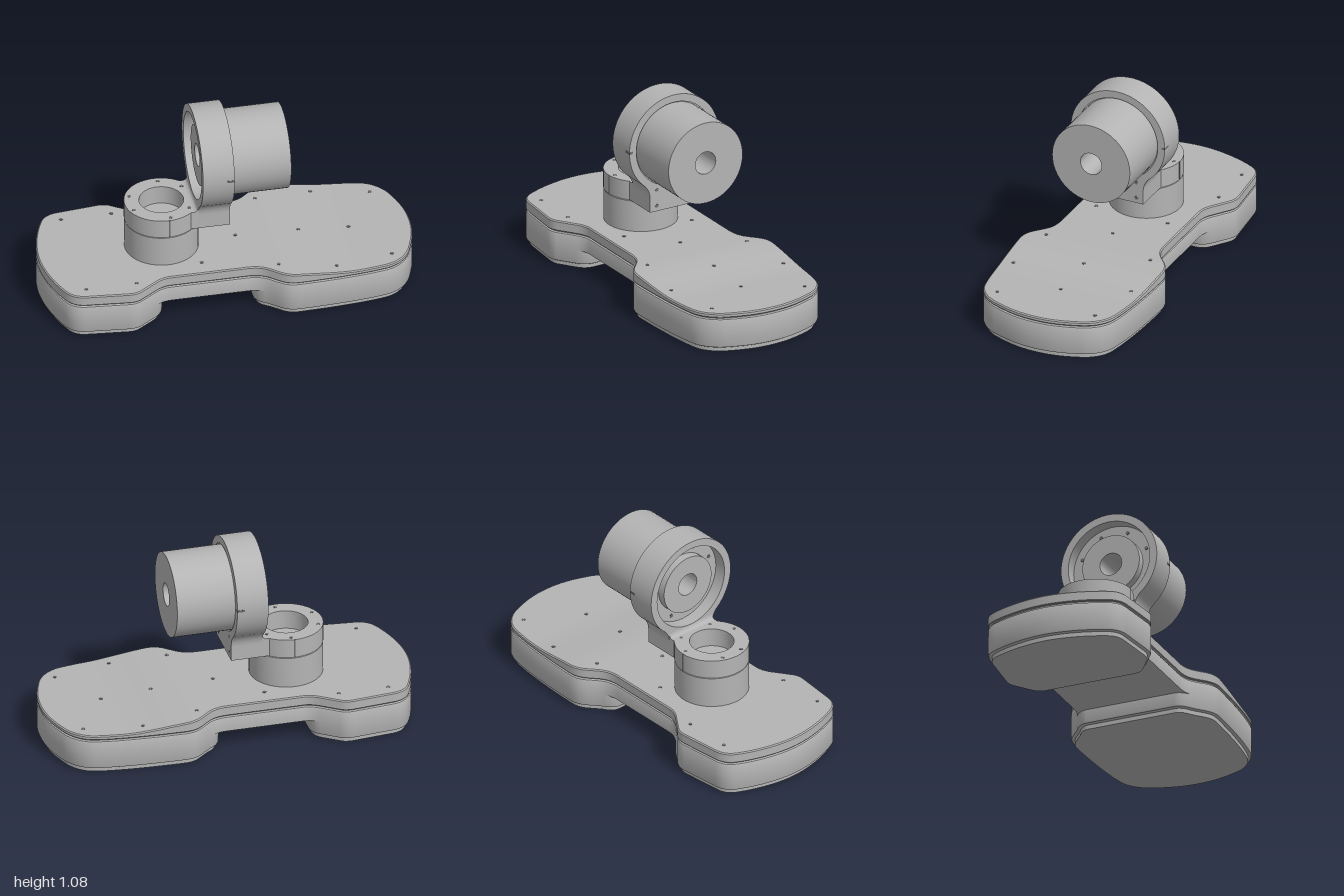
import * as THREE from 'three';
import { toCreasedNormals } from 'three/addons/utils/BufferGeometryUtils.js';

const bodyGrey = new THREE.MeshStandardMaterial({ color: 0xb4b4b4 });
bodyGrey.name = 'body grey';
const holeGrey = new THREE.MeshStandardMaterial({ color: 0x6c6c6c });
holeGrey.name = 'hole grey';

const COLUMN_X = -0.338, JOINT_Y = 0.8;

function mesh(parent, name, geometry, material = bodyGrey) {
  const m = new THREE.Mesh(geometry, material);
  m.name = name;
  parent.add(m);
  return m;
}

// Solid mirrored in z: half outline (x, z >= 0) lofted through rings [inset, height]
function slab(half, rings) {
  const n = half.length, M = 2 * n - 2, pos = [], idx = [];
  const normals = half.map((p, i) => {
    if (i === 0) return new THREE.Vector2(-1, 0);
    if (i === n - 1) return new THREE.Vector2(1, 0);
    const t = half[i + 1].clone().sub(half[i - 1]).normalize();
    return new THREE.Vector2(-t.y, t.x);
  });
  for (const [inset, y] of rings) {
    for (let k = 0; k < M; k++) {
      const i = k < n ? k : M - k, s = k < n ? 1 : -1;
      const x = half[i].x - normals[i].x * inset;
      const z = half[i].y - normals[i].y * inset;
      pos.push(x, typeof y === 'function' ? y(x) : y, s * z);
    }
  }
  for (let r = 0; r < rings.length - 1; r++) {
    for (let k = 0; k < M; k++) {
      const a = r * M + k, b = r * M + (k + 1) % M;
      idx.push(a, b, b + M, a, b + M, a + M);
    }
  }
  const top = (rings.length - 1) * M;
  for (let i = 0; i < n - 1; i++) {
    const j = i + 1, mi = (M - i) % M, mj = M - j;
    idx.push(top + i, top + j, top + mj, top + i, top + mj, top + mi);
    idx.push(i, mj, j, i, mi, mj);
  }
  const g = new THREE.BufferGeometry();
  g.setAttribute('position', new THREE.Float32BufferAttribute(pos, 3));
  g.setIndex(idx);
  return toCreasedNormals(g, 0.5);
}

// Turned part from [radius, height] points
function turned(points) {
  const g = new THREE.LatheGeometry(points.map(p => new THREE.Vector2(...p)), 64);
  return toCreasedNormals(g, 0.5);
}

function extrude(shape, depth) {
  const g = new THREE.ExtrudeGeometry(shape, { depth, bevelEnabled: false, curveSegments: 48 });
  return toCreasedNormals(g, 0.5);
}

// Rounded ends of the base outline
function leftEnd(p) {
  p.moveTo(-1, 0);
  p.bezierCurveTo(-1, 0.12, -0.96, 0.25, -0.92, 0.33);
  p.quadraticCurveTo(-0.89, 0.39, -0.82, 0.397);
  p.lineTo(-0.6, 0.419);
  p.quadraticCurveTo(-0.56, 0.423, -0.53, 0.405);
  return p;
}
function rightEnd(p) {
  p.bezierCurveTo(0.22, 0.38, 0.24, 0.423, 0.32, 0.423);
  p.bezierCurveTo(0.5, 0.42, 0.68, 0.41, 0.8, 0.385);
  p.quadraticCurveTo(0.89, 0.365, 0.94, 0.27);
  p.bezierCurveTo(0.98, 0.17, 1, 0.1, 1, 0);
  return p;
}

const lidTop = x => 0.255 - 0.033 * THREE.MathUtils.smoothstep(x, 0.22, 0.66);

function addBase(root) {
  const base = new THREE.Group();
  base.name = 'base';
  root.add(base);

  const full = leftEnd(new THREE.Path());
  full.lineTo(-0.43, 0.335);
  full.quadraticCurveTo(-0.39, 0.308, -0.35, 0.308);
  full.lineTo(0.06, 0.308);
  full.quadraticCurveTo(0.12, 0.308, 0.16, 0.335);
  const outline = rightEnd(full).getPoints(14);
  mesh(base, 'bodyShell', slab(outline, [[0, 0.105], [0, 0.178], [0.004, 0.186], [0.014, 0.19], [0.014, 0.201]]));
  mesh(base, 'lid', slab(outline, [[0.014, 0.197], [0.003, 0.198], [0, 0.202],
    [0, x => lidTop(x) - 0.006], [0.006, lidTop]]));

  // Two pods hanging below the bridge, each with an inset foot
  const left = leftEnd(new THREE.Path());
  left.lineTo(-0.44, 0.342);
  left.quadraticCurveTo(-0.39, 0.307, -0.39, 0.25);
  left.lineTo(-0.39, 0);
  const right = new THREE.Path();
  right.moveTo(0.1, 0);
  right.lineTo(0.1, 0.25);
  right.quadraticCurveTo(0.1, 0.3, 0.16, 0.335);
  rightEnd(right);
  const podRings = [[0.02, 0], [0.02, 0.024], [0.01, 0.025], [0.003, 0.029], [0, 0.037], [0, 0.106]];
  mesh(base, 'rightPod', slab(left.getPoints(14), podRings));
  mesh(base, 'leftPod', slab(right.getPoints(14), podRings));

  // Screw holes in the lid
  const holes = [[-0.81, 0.326], [-0.54, 0.326], [-0.165, 0.21], [0.23, 0.308], [0.535, 0.347], [0.845, 0.288],
    [0.06, 0], [0.4, 0], [0.67, 0]];
  for (const [x, z] of holes) {
    for (const s of z ? [1, -1] : [1]) {
      const h = mesh(base, 'lidScrewHole', new THREE.CylinderGeometry(0.01, 0.01, 0.004, 16), holeGrey);
      h.position.set(x, lidTop(x), s * z);
      h.rotation.z = Math.atan((lidTop(x + 0.01) - lidTop(x - 0.01)) / 0.02);
    }
  }
}

function addColumn(root) {
  const column = new THREE.Group();
  column.name = 'columnJoint';
  column.position.x = COLUMN_X;
  root.add(column);
  mesh(column, 'column', turned([[0, 0.24], [0.196, 0.24], [0.196, 0.428], [0.19, 0.435], [0, 0.435]]));
  mesh(column, 'clampCollar', turned([[0.118, 0.434], [0.198, 0.434], [0.198, 0.54], [0.118, 0.54], [0.118, 0.434]]));
  for (const s of [1, -1]) {
    for (const [x, z] of [[-0.16, 0.065], [0.015, 0.17], [0.13, 0.1]]) {
      mesh(column, 'collarScrewHole', new THREE.CylinderGeometry(0.01, 0.01, 0.004, 16), holeGrey)
        .position.set(x, 0.539, s * z);
    }
    mesh(column, 'collarSlot', new THREE.BoxGeometry(0.01, 0.104, 0.006), holeGrey)
      .position.set(0.004, 0.488, s * 0.196);
  }
}

function addArm(root) {
  const arm = new THREE.Group();
  arm.name = 'arm';
  root.add(arm);

  // Bracket with a small fillet where it meets the upright
  const b = new THREE.Shape();
  b.moveTo(-0.215, 0.435);
  b.lineTo(-0.165, 0.435);
  b.lineTo(-0.165, 0.565);
  b.lineTo(-0.17, 0.565);
  b.quadraticCurveTo(-0.172, 0.54, -0.195, 0.54);
  b.lineTo(-0.215, 0.54);
  mesh(arm, 'bracket', extrude(b, 0.3)).position.z = -0.15;

  // Upright ring with its neck
  const r = new THREE.Shape();
  r.moveTo(-0.15, 0.435);
  r.lineTo(0.15, 0.435);
  r.lineTo(0.15, 0.52);
  r.quadraticCurveTo(0.152, 0.57, 0.196, 0.604);
  r.absarc(0, JOINT_Y, 0.277, -Math.PI / 4, Math.PI * 1.25, false);
  r.quadraticCurveTo(-0.152, 0.57, -0.15, 0.52);
  r.closePath();
  const bore = new THREE.Path();
  bore.absarc(0, JOINT_Y, 0.235, 0, Math.PI * 2, true);
  r.holes.push(bore);
  mesh(arm, 'uprightRing', extrude(r, 0.17).rotateY(Math.PI / 2)).position.x = -0.17;

  // Motor with rear flange and through hole
  const motor = turned([[0.063, -0.145], [0.165, -0.145], [0.165, -0.1], [0.235, -0.1], [0.235, -0.01],
    [0.229, -0.01], [0.229, 0.315], [0.063, 0.315], [0.063, -0.145]]).rotateZ(-Math.PI / 2);
  mesh(arm, 'motor', motor).position.y = JOINT_Y;

  const disc = () => new THREE.CylinderGeometry(0.01, 0.01, 0.004, 16).rotateZ(Math.PI / 2);
  for (let i = 0; i < 8; i++) {
    const a = (i + 0.5) * Math.PI / 4;
    mesh(arm, 'flangeScrewHole', disc(), holeGrey)
      .position.set(-0.101, JOINT_Y + 0.2 * Math.sin(a), 0.2 * Math.cos(a));
  }
  for (const s of [1, -1]) {
    for (const y of [0.465, 0.557]) {
      mesh(arm, 'neckScrewHole', disc(), holeGrey).position.set(-0.001, y, s * 0.108);
    }
    mesh(arm, 'ringNotchSide', new THREE.BoxGeometry(0.04, 0.012, 0.004), holeGrey)
      .position.set(-0.02, JOINT_Y, s * 0.276);
    mesh(arm, 'ringNotchFace', new THREE.BoxGeometry(0.004, 0.012, 0.018), holeGrey)
      .position.set(-0.001, JOINT_Y, s * 0.268);
  }
}

export function createModel() {
  const root = new THREE.Group();
  root.name = 'motorJointOnBase';
  addBase(root);
  addColumn(root);
  addArm(root);
  return root;
}
